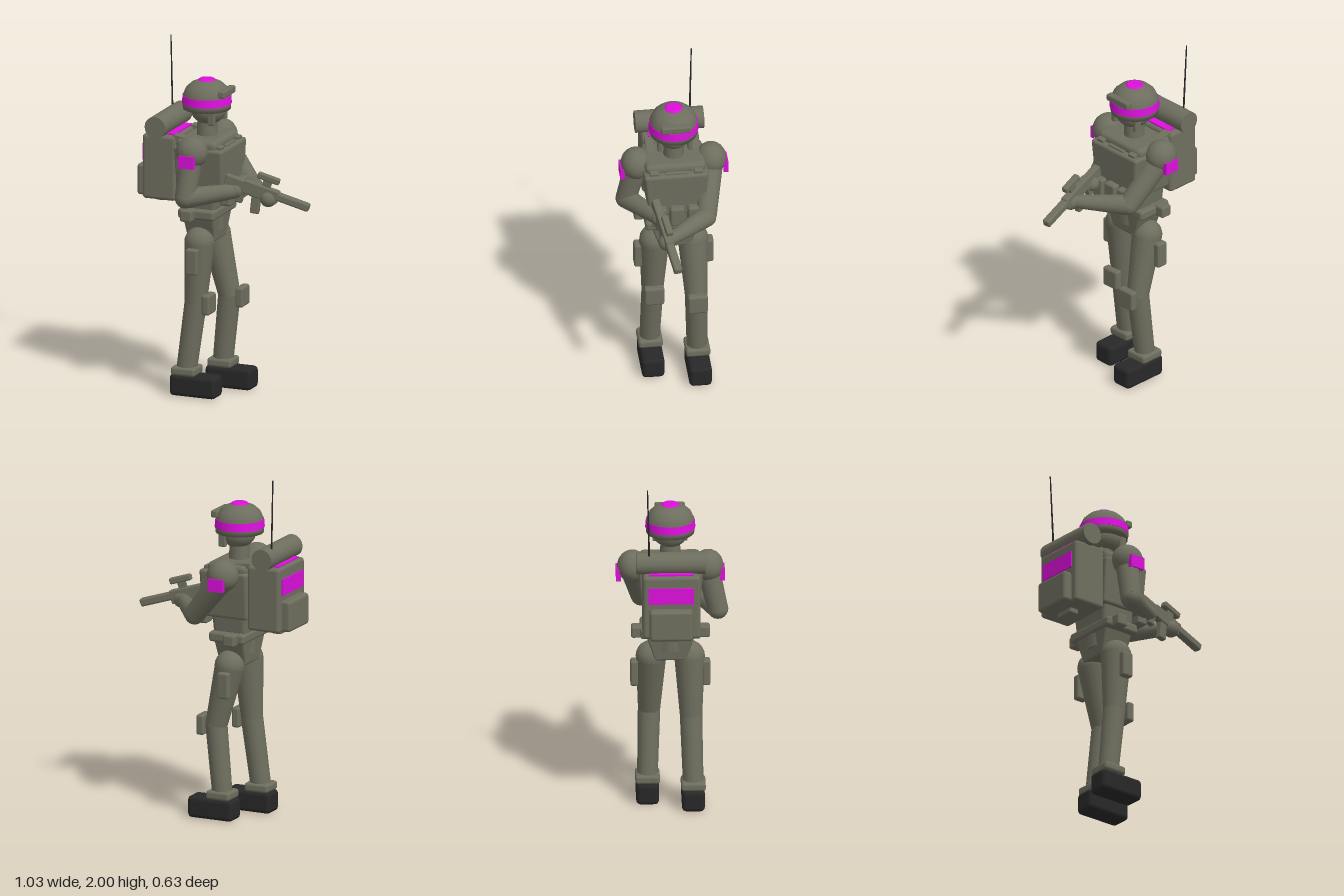
import * as THREE from 'three';
import { RoundedBoxGeometry } from 'three/addons/geometries/RoundedBoxGeometry.js';

const mat = (name, color) => Object.assign(new THREE.MeshStandardMaterial({ color }), { name });
const MID = -0.016; // z of the body's centre plane

export function createModel() {
  const root = new THREE.Group();
  root.name = 'soldier';
  const olive = mat('olive drab', 0x6e6e5f);
  const black = mat('boot black', 0x282828);
  const magenta = mat('marker magenta', 0xdb10db);

  const add = (name, geo, material, x = 0, y = 0, z = 0, parent = root) => {
    const m = new THREE.Mesh(geo, material);
    m.name = name;
    m.position.set(x, y, z);
    parent.add(m);
    return m;
  };
  // Rounded box given by its x, y and z ranges
  const box = (name, [x0, x1], [y0, y1], [z0, z1], r = 0.012, material = olive, parent = root) =>
    add(name, r ? new RoundedBoxGeometry(x1 - x0, y1 - y0, z1 - z0, 2, r) : new THREE.BoxGeometry(x1 - x0, y1 - y0, z1 - z0),
      material, (x0 + x1) / 2, (y0 + y1) / 2, (z0 + z1) / 2, parent);
  // Narrow a mesh toward its lower end
  const taper = (mesh, sx, sz) => {
    const p = mesh.geometry.attributes.position;
    mesh.geometry.computeBoundingBox();
    const { min, max } = mesh.geometry.boundingBox;
    for (let i = 0; i < p.count; i++) {
      const t = (max.y - p.getY(i)) / (max.y - min.y);
      p.setX(i, p.getX(i) * (1 + (sx - 1) * t));
      p.setZ(i, p.getZ(i) * (1 + (sz - 1) * t));
    }
    mesh.geometry.computeVertexNormals();
    return mesh;
  };
  const rod = (name, a, b, ra, rb, material = olive, parent = root, sides = 16) => {
    const va = new THREE.Vector3(...a), vb = new THREE.Vector3(...b);
    const d = vb.clone().sub(va);
    const m = add(name, new THREE.CylinderGeometry(rb, ra, d.length(), sides), material, 0, 0, 0, parent);
    m.position.copy(va).lerp(vb, 0.5);
    m.quaternion.setFromUnitVectors(new THREE.Vector3(0, 1, 0), d.normalize());
    return m;
  };
  // Chain of tapered rods with a ball at each joint: [x, y, z, radius]
  const limb = (name, joints) => {
    const g = new THREE.Group();
    g.name = name;
    root.add(g);
    joints.forEach((j, i) => {
      add(name + 'Joint', new THREE.SphereGeometry(j[3], 16, 12), olive, j[0], j[1], j[2], g);
      const n = joints[i + 1];
      if (n) rod(name + 'Segment', j.slice(0, 3), n.slice(0, 3), j[3], n[3], olive, g);
    });
  };

  // Legs, boots and pads
  const legs = [
    { side: 'right', s: 1, hip: [-0.135, 0.89, 0.092, 0.086], knee: [-0.155, 0.54, 0.1, 0.063], ankle: [-0.205, 0.15, 0.111, 0.058], boot: -0.15 },
    { side: 'left', s: -1, hip: [-0.13, 0.89, -0.124, 0.086], knee: [-0.05, 0.54, -0.133, 0.063], ankle: [-0.092, 0.15, -0.143, 0.058], boot: -0.04 },
  ];
  for (const { side, s, hip, knee, ankle, boot } of legs) {
    limb(side + 'Leg', [hip, knee, ankle]);
    const z = ankle[2];
    box(side + 'Boot', [boot - 0.14, boot + 0.14], [0, 0.125], [z - 0.064, z + 0.064], 0.025, black);
    box(side + 'AnkleCuff', [ankle[0] - 0.073, ankle[0] + 0.073], [0.12, 0.17], [z - 0.069, z + 0.069], 0.016);
    box(side + 'KneePad', [knee[0] + 0.055, knee[0] + 0.103], [0.48, 0.597], [knee[2] - 0.056, knee[2] + 0.056], 0.014);
    const out = MID + s * 0.202;
    box(side + 'ThighPocket', [-0.175, -0.105], [0.72, 0.87], [out - 0.022, out + 0.022]);
  }

  // Pelvis, belt and belt pouches
  taper(box('pelvis', [-0.23, -0.04], [0.89, 1.05], [MID - 0.14, MID + 0.14]), 0.85, 0.62);
  rod('waist', [-0.135, 0.95, MID], [-0.135, 1.08, MID], 0.1, 0.1);
  box('belt', [-0.245, -0.025], [1.03, 1.088], [MID - 0.17, MID + 0.17], 0.016);
  for (const s of [-1, 1]) {
    const z = MID + s * 0.185;
    box('beltPouch', [-0.21, -0.14], [1.025, 1.093], [z - 0.036, z + 0.036]);
  }

  // Torso, vest and chest pouches
  taper(box('torso', [-0.26, -0.01], [1.06, 1.49], [MID - 0.175, MID + 0.175], 0.03), 0.8, 0.74);
  taper(box('vest', [-0.265, 0.03], [1.17, 1.445], [MID - 0.183, MID + 0.183], 0.016), 0.95, 0.85);
  box('chestFlap', [-0.01, 0.012], [1.425, 1.457], [MID - 0.062, MID + 0.062], 0.006);
  for (const dz of [-0.1, 0, 0.1]) {
    box('magazinePouch', [0.0, 0.065], [1.12, 1.24], [MID + dz - 0.041, MID + dz + 0.041], 0.014);
  }
  for (const s of [-1, 1]) {
    const z = MID + s * 0.125;
    const strap = box('shoulderStrap', [-0.28, 0.015], [1.455, 1.485], [z - 0.025, z + 0.025], 0.006);
    strap.rotation.z = -0.16;
  }

  // Neck, head and helmet
  rod('neck', [-0.135, 1.46, MID], [-0.135, 1.6, MID], 0.06, 0.054);
  add('head', new THREE.SphereGeometry(0.1, 20, 14), olive, -0.128, 1.635, MID).scale.set(1, 0.85, 1);
  const helmet = new THREE.Group();
  helmet.name = 'helmet';
  helmet.position.set(-0.137, 1.64, MID);
  root.add(helmet);
  const shell = [[0, 0], [0.135, 0], [0.138, 0.03], [0.134, 0.08], [0.117, 0.119], [0.088, 0.146], [0.05, 0.163], [0, 0.17]];
  add('helmetShell', new THREE.LatheGeometry(shell.map((p) => new THREE.Vector2(...p)), 24), olive, 0, 0, 0, helmet);
  add('helmetBand', new THREE.CylinderGeometry(0.137, 0.141, 0.046, 24), magenta, 0, 0.055, 0, helmet);
  add('helmetTopMark', new THREE.CylinderGeometry(0.04, 0.051, 0.008, 24), magenta, 0, 0.168, 0, helmet);
  box('nightVisionMount', [0.1, 0.141], [0.084, 0.126], [-0.085, 0.085], 0.01, olive, helmet);
  for (const s of [-1, 1]) {
    box('chinStrap', [0.042, 0.087], [-0.075, 0.03], [s * 0.085 - 0.014, s * 0.085 + 0.014], 0.008, olive, helmet);
  }

  // Shoulders, arms, hands and arm patches
  limb('rightArm', [[-0.14, 1.42, 0.195, 0.066], [-0.155, 1.18, 0.25, 0.059], [0.085, 1.21, 0.1, 0.042]]);
  limb('leftArm', [[-0.14, 1.42, -0.228, 0.07], [0.065, 1.175, -0.175, 0.059], [0.265, 1.18, 0.065, 0.037]]);
  add('rightHand', new THREE.SphereGeometry(0.045, 16, 12), olive, 0.09, 1.213, 0.095);
  add('leftHand', new THREE.SphereGeometry(0.047, 16, 12), olive, 0.275, 1.178, 0.073);
  for (const s of [-1, 1]) {
    const z = MID + s * 0.212;
    add('shoulderPad', new THREE.SphereGeometry(0.092, 18, 14), olive, -0.138, 1.435, z).scale.z = 0.94;
    box('armPatch', [-0.182, -0.09], [1.36, 1.432], [MID + s * 0.3 - 0.0048, MID + s * 0.3 + 0.0048], 0, magenta);
    // Plate edges wrapping toward the arm
    for (const x of [-0.182, -0.094]) {
      box('armPatchEdge', [x, x + 0.004], [1.36, 1.432], [MID + s * 0.288 - 0.01, MID + s * 0.288 + 0.01], 0, magenta);
    }
  }

  // Backpack with pocket, bedroll, markers and antenna
  box('backpack', [-0.465, -0.262], [1.12, 1.495], [-0.178, 0.146], 0.02);
  box('backpackPocket', [-0.515, -0.445], [1.125, 1.305], [-0.14, 0.102], 0.018);
  box('packBuckle', [-0.425, -0.365], [1.09, 1.13], [MID - 0.06, MID + 0.06], 0.01);
  box('packTopMarker', [-0.445, -0.28], [1.494, 1.503], [-0.142, 0.108], 0, magenta);
  box('packBackMarker', [-0.474, -0.465], [1.335, 1.43], [-0.145, 0.11], 0, magenta);
  rod('bedroll', [-0.372, 1.545, -0.212], [-0.372, 1.545, 0.175], 0.063, 0.063, olive, root, 20);
  rod('antenna', [-0.396, 1.48, -0.137], [-0.413, 2, -0.15], 0.006, 0.0035, black, root, 8);

  // Rifle, aimed forward and down; its own x axis runs along the barrel
  const rifle = new THREE.Group();
  rifle.name = 'rifle';
  const butt = new THREE.Vector3(0.03, 1.285, 0.108), muzzle = new THREE.Vector3(0.505, 1.14, 0.034);
  const aim = muzzle.clone().sub(butt);
  rifle.position.copy(butt).lerp(muzzle, 0.5);
  rifle.rotation.set(0, Math.atan2(-aim.z, aim.x), Math.atan2(aim.y, Math.hypot(aim.x, aim.z)), 'YZX');
  root.add(rifle);
  const gun = (name, x, y, w = 0.022, r = 0.008) => box(name, x, y, [-w, w], r, olive, rifle);
  gun('stock', [-0.25, -0.12], [-0.055, 0.025]);
  gun('receiver', [-0.14, 0.07], [-0.045, 0.032], 0.024);
  gun('barrelShroud', [0.03, 0.254], [-0.022, 0.024], 0.024, 0.012);
  gun('magazine', [-0.07, -0.018], [-0.14, -0.03], 0.018).rotation.z = 0.18;
  gun('grip', [-0.16, -0.12], [-0.11, -0.04], 0.018);
  gun('scopeMount', [-0.04, 0.01], [0.025, 0.07], 0.01, 0.004);
  gun('scope', [-0.08, 0.05], [0.065, 0.1], 0.019);
  return root;
}
